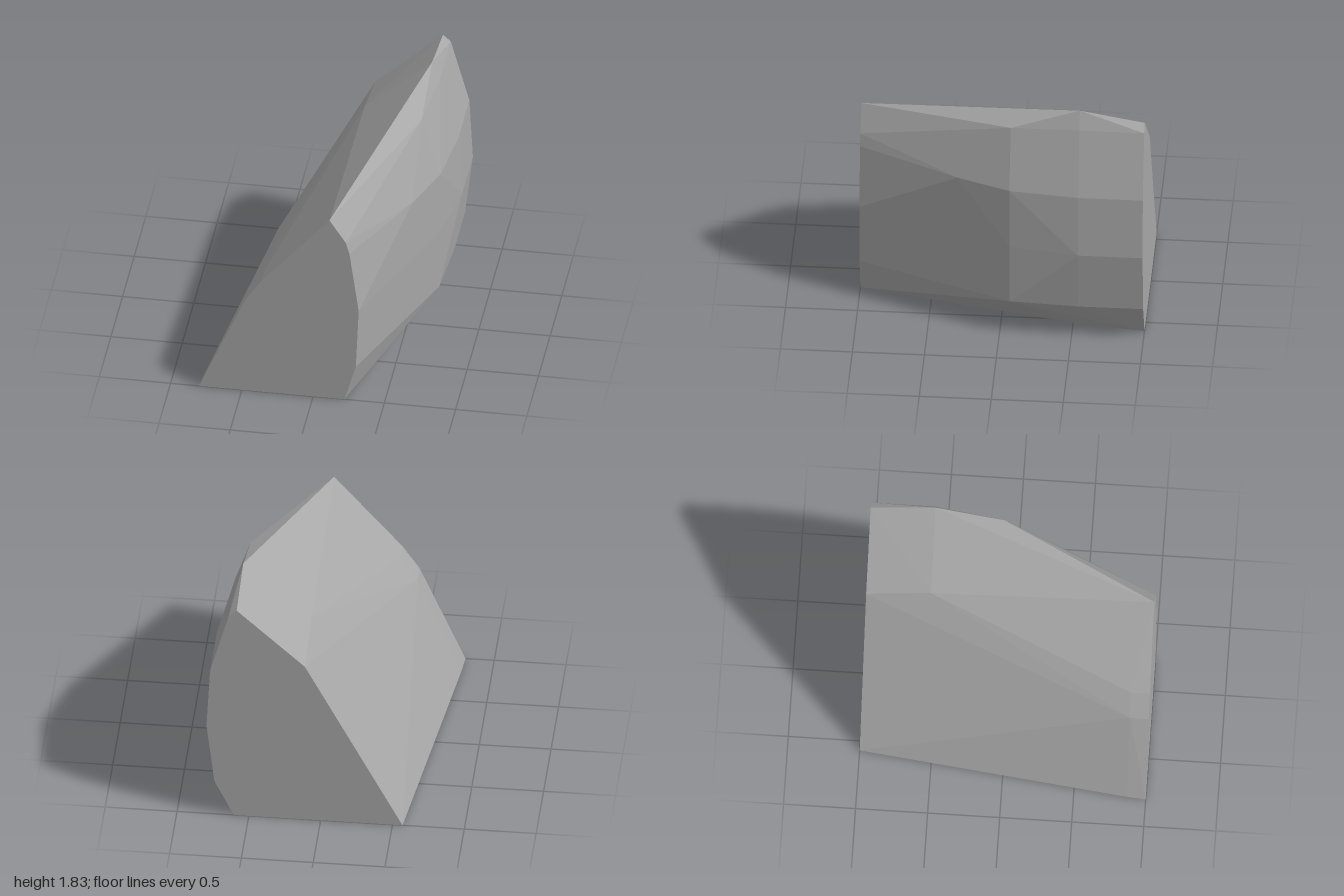
import * as THREE from 'three';
import { ConvexGeometry } from 'three/addons/geometries/ConvexGeometry.js';

// Outline corners [x, y] at each depth z, from the left foot over the ridge to the right foot
const sections = [
  { z: 1, points: [[-0.8, 0], [-0.48, 0.75], [-0.36, 0.93], [0.115, 1.487], [0.23, 1.31], [0.255, 1.22], [0.32, 0.75], [0.3, 0.28], [0.22, 0]] },
  { z: 0.87, points: [[-0.79, 0], [-0.48, 0.75], [-0.36, 0.93]] },
  { z: 0.3, points: [[0.585, 1.22]] },
  { z: -0.07, points: [[0.585, 1.66], [0.72, 1.22], [0.722, 0.75], [0.71, 0.28]] },
  { z: -0.55, points: [[0.11, 1.404], [0.585, 1.83], [0.64, 1.7], [0.77, 1.22], [0.795, 0.75], [0.74, 0.28], [0.55, 0]] },
  { z: -1, points: [[-0.57, 0], [0.11, 1.305], [0.585, 1.75], [0.64, 1.7], [0.77, 1.22], [0.795, 0.75], [0.74, 0.28], [0.605, 0]] },
];

export function createModel() {
  const group = new THREE.Group();
  group.name = 'rock';

  const stone = new THREE.MeshStandardMaterial({ color: 0xa8a8a8 });
  stone.name = 'stone grey';

  // Faceted boulder wrapped tightly around the section corners
  const corners = sections.flatMap(({ z, points }) => points.map(([x, y]) => new THREE.Vector3(x, y, z)));
  const boulder = new THREE.Mesh(new ConvexGeometry(corners), stone);
  boulder.name = 'boulder';
  group.add(boulder);

  return group;
}
